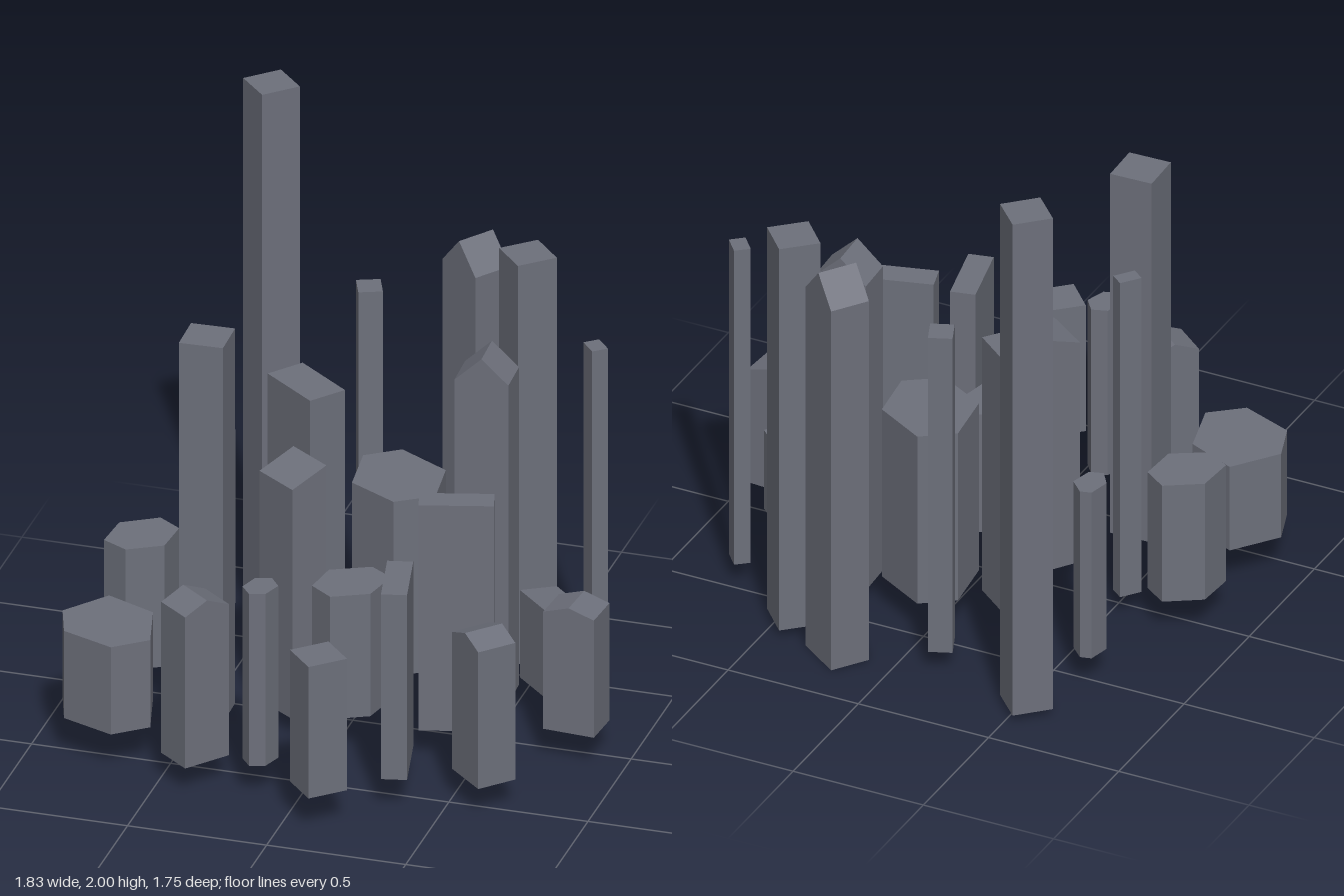
import * as THREE from 'three';
import { ConvexGeometry } from 'three/addons/geometries/ConvexGeometry.js';

const stone = new THREE.MeshStandardMaterial({ color: 0x6d707b });
stone.name = 'slateGrey';

// Four-sided towers: name, centre x, z, width, depth, turn in degrees,
// base y, eave y, roof rise (0 = flat) and roof type
const blocks = [
  ['tallestTower', -0.533, -0.775, 0.145, 0.145, 46, 0.03, 2.0],
  ['backSlimTower', -0.14, -0.643, 0.085, 0.096, -22, 0.08, 1.34],
  ['backGableTower', 0.216, -0.73, 0.186, 0.147, 35.4, 0, 1.44, 0.105, 'gable'],
  ['backRightTower', 0.435, -0.626, 0.152, 0.148, 47.6, 0.03, 1.56],
  ['sideNeedleTower', 0.737, -0.437, 0.077, 0.059, 50, 0.08, 1.34],
  ['innerGableTower', 0.39, -0.293, 0.191, 0.147, -2.9, 0.03, 1.25, 0.09, 'gable'],
  ['backSlab', -0.262, -0.305, 0.255, 0.146, 38, 0.1, 1.115],
  ['lowShedBlock', 0.649, -0.206, 0.184, 0.145, 44, 0.14, 0.455, 0.02, 'shedFront'],
  ['frontGableBlock', 0.615, 0.469, 0.182, 0.147, 42.8, 0.11, 0.635, 0.035, 'gable'],
  ['sideGableBlock', 0.813, 0.032, 0.187, 0.145, 4.5, 0.12, 0.57, 0.03, 'gable'],
  ['wideSlab', 0.421, 0.156, 0.259, 0.095, -15.4, 0.12, 0.985],
  ['frontSlab', 0.312, 0.494, 0.09, 0.258, -12.5, 0.12, 0.83],
  ['frontBlock', 0.115, 0.77, 0.147, 0.147, 47, 0.135, 0.64],
  ['innerShedTower', -0.193, 0.073, 0.186, 0.147, 35.4, 0.07, 0.95, 0.05, 'shedBack'],
  ['innerNeedleTower', -0.55, -0.035, 0.055, 0.082, 38, 0.08, 1.34],
  ['frontSquareTower', -0.43, 0.305, 0.157, 0.157, -1.8, 0.12, 1.56],
  ['frontLowGableBlock', -0.382, 0.597, 0.182, 0.146, -51.5, 0.1, 0.68, 0.04, 'gable'],
];

// Six-sided towers: name, base y, top y, outline as x, z pairs
const hexes = [
  ['backSmallHexTower', 0.12, 0.785,
    [-0.63, -0.56, -0.58, -0.51, -0.6, -0.43, -0.65, -0.415, -0.688, -0.47, -0.67, -0.55]],
  ['largeHexTower', 0.13, 0.8,
    [0.02, -0.508, 0.21, -0.4, 0.235, -0.2, 0.11, -0.115, -0.07, -0.214, -0.095, -0.425]],
  ['middleHexBlock', 0.13, 0.6,
    [0.07, 0, 0.155, 0.057, 0.125, 0.2, 0, 0.263, -0.085, 0.2, -0.066, 0.066]],
  ['sideHexBlock', 0.14, 0.605,
    [-0.733, -0.135, -0.648, -0.076, -0.657, 0.066, -0.775, 0.135, -0.868, 0.086, -0.858, -0.057]],
  ['largeHexBlock', 0.15, 0.485,
    [-0.796, 0.258, -0.614, 0.337, -0.56, 0.543, -0.673, 0.636, -0.864, 0.563, -0.915, 0.415]],
  ['frontSmallHexTower', 0.125, 0.785,
    [-0.125, 0.535, -0.086, 0.587, -0.11, 0.66, -0.164, 0.676, -0.203, 0.627, -0.18, 0.553]],
];

function solid(name, points) {
  const mesh = new THREE.Mesh(new ConvexGeometry(points), stone);
  mesh.name = name;
  return mesh;
}

// Box with a flat, sloped or ridged roof
function block([name, x, z, w, d, turn, base, eave, rise = 0, roof = 'flat']) {
  const points = [];
  for (const v of [-1, 1]) {
    const raised = (roof === 'shedFront' && v > 0) || (roof === 'shedBack' && v < 0);
    for (const u of [-1, 1]) {
      points.push(new THREE.Vector3(u * w / 2, base, v * d / 2));
      points.push(new THREE.Vector3(u * w / 2, eave + (raised ? rise : 0), v * d / 2));
    }
    if (roof === 'gable') points.push(new THREE.Vector3(0, eave + rise, v * d / 2));
  }
  const mesh = solid(name, points);
  mesh.position.set(x, 0, z);
  mesh.rotation.y = -THREE.MathUtils.degToRad(turn);
  return mesh;
}

// Flat-topped prism over an outline
function prism([name, base, top, outline]) {
  const points = [];
  for (let i = 0; i < outline.length; i += 2) {
    for (const y of [base, top]) points.push(new THREE.Vector3(outline[i], y, outline[i + 1]));
  }
  return solid(name, points);
}

export function createModel() {
  const city = new THREE.Group();
  city.name = 'towerCluster';
  city.add(...blocks.map(block), ...hexes.map(prism));
  return city;
}
